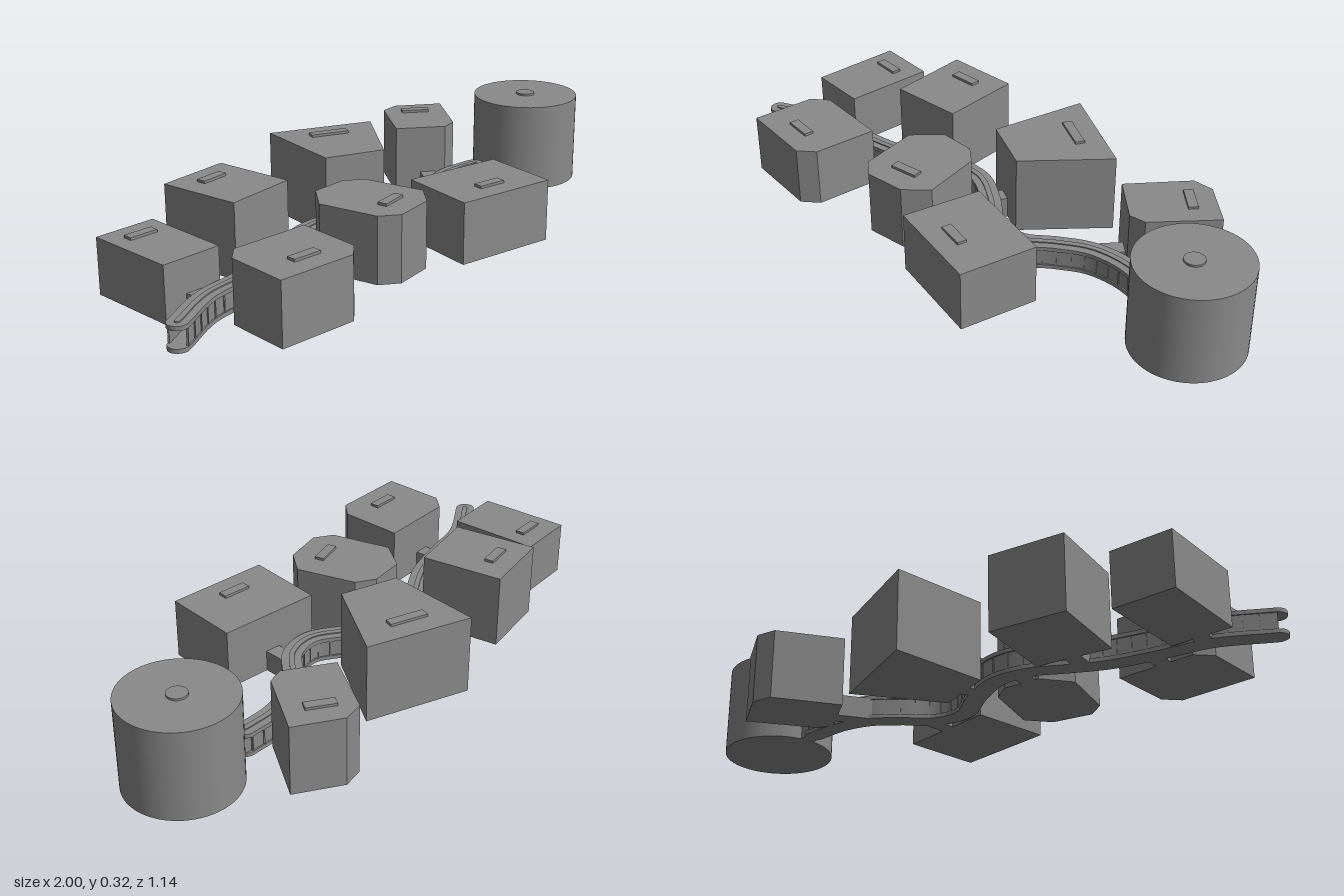
import * as THREE from 'three';
import { toCreasedNormals } from 'three/addons/utils/BufferGeometryUtils.js';

const wallGrey = new THREE.MeshStandardMaterial({ color: 0x8a8a8a });
wallGrey.name = 'wallGrey';

// Centre line of the winding corridor, as [x, z]
const spine = new THREE.CatmullRomCurve3([
  [-0.97, 0.395], [-0.815, 0.27], [-0.665, 0.21], [-0.505, 0.135], [-0.395, 0.05],
  [-0.315, -0.015], [-0.195, -0.053], [-0.05, -0.02], [0.095, 0.037], [0.2, 0],
  [0.27, -0.09], [0.35, -0.175], [0.455, -0.225], [0.575, -0.245],
].map(([x, z]) => new THREE.Vector3(x, 0, z)));

function addMesh(parent, name, geometry) {
  const mesh = new THREE.Mesh(geometry, wallGrey);
  mesh.name = name;
  parent.add(mesh);
  return mesh;
}

// Upright prism over a ground plan of [x, z] points
function prism(plan, y0, y1) {
  const shape = new THREE.Shape(plan.map(([x, z]) => new THREE.Vector2(x, -z)));
  const geo = new THREE.ExtrudeGeometry(shape, { depth: y1 - y0, bevelEnabled: false });
  geo.rotateX(-Math.PI / 2).translate(0, y0, 0);
  return toCreasedNormals(geo, 0.5);
}

// Point beside the spine at parameter u
function beside(u, offset) {
  const p = spine.getPointAt(u), t = spine.getTangentAt(u);
  return [p.x - t.z * offset, p.z + t.x * offset];
}

// Band following the spine between two offsets, optionally with round ends
function band(from, to, y0, y1, round = false) {
  const n = 80, plan = [], back = [];
  for (let i = 0; i <= n; i++) {
    plan.push(beside(i / n, to));
    back.unshift(beside(i / n, from));
  }
  const cap = (u, sign) => {
    const p = spine.getPointAt(u), t = spine.getTangentAt(u), pts = [];
    for (let k = 1; k < 10; k++) {
      const a = (k / 10) * Math.PI, s = Math.sin(a) * to * sign, c = Math.cos(a) * to * sign;
      pts.push([p.x + t.x * s - t.z * c, p.z + t.z * s + t.x * c]);
    }
    return pts;
  };
  const outline = round ? [...plan, ...cap(1, 1), ...back, ...cap(0, -1)] : [...plan, ...back];
  return prism(outline, y0, y1);
}

// Box lying between two ground points
function link(a, b, width, height) {
  const dx = b[0] - a[0], dz = b[1] - a[1];
  const geo = new THREE.BoxGeometry(Math.hypot(dx, dz), height, width);
  geo.rotateY(Math.atan2(-dz, dx));
  return geo.translate((a[0] + b[0]) / 2, height / 2, (a[1] + b[1]) / 2);
}

// Each room: plan, height, roof vent [x, z, slope, length], passage from corridor to room
const rooms = [
  { name: 'backLeftRoom', height: 0.19, vent: [-0.88, -0.02, -0.2, 0.1],
    plan: [[-1, -0.08], [-0.79, -0.125], [-0.725, 0.19], [-0.93, 0.235]],
    passage: [[-0.8, 0.265], [-0.83, 0.2]] },
  { name: 'backInnerRoom', height: 0.26, vent: [-0.55, -0.18, -0.34, 0.1],
    plan: [[-0.7, -0.22], [-0.45, -0.305], [-0.355, -0.03], [-0.6, 0.06]],
    passage: [[-0.445, 0.1], [-0.48, 0]] },
  { name: 'taperedRoom', height: 0.28, vent: [-0.015, -0.32, 0.2, 0.135],
    plan: [[-0.18, -0.445], [0.19, -0.365], [0.045, -0.065], [-0.165, -0.1]],
    passage: [[-0.08, -0.035], [-0.062, -0.1]] },
  { name: 'backRightRoom', height: 0.245, vent: [0.465, -0.475, 0.46, 0.1],
    plan: [[0.375, -0.55], [0.445, -0.575], [0.605, -0.505], [0.5, -0.28], [0.445, -0.255], [0.28, -0.33]],
    passage: [[0.34, -0.17], [0.395, -0.3]] },
  { name: 'frontLeftRoom', height: 0.212, vent: [-0.585, 0.45, -0.17, 0.1],
    plan: [[-0.725, 0.285], [-0.455, 0.235], [-0.42, 0.46], [-0.46, 0.52], [-0.73, 0.565], [-0.765, 0.345]],
    passage: [[-0.635, 0.2], [-0.615, 0.28]] },
  { name: 'octagonRoom', height: 0.23, vent: [-0.145, 0.25, -0.45, 0.1],
    plan: [[-0.29, 0.035], [-0.165, 0], [-0.095, 0.03], [0, 0.225], [-0.05, 0.315], [-0.185, 0.37], [-0.255, 0.34], [-0.345, 0.145]],
    passage: [[-0.275, -0.03], [-0.235, 0.06]] },
  { name: 'frontRightRoom', height: 0.213, vent: [0.24, 0.265, -0.05, 0.1],
    plan: [[0.055, 0.08], [0.415, 0.065], [0.43, 0.34], [0.065, 0.36]],
    passage: [[0.22, 0], [0.23, 0.1]] },
];

export function createModel() {
  const model = new THREE.Group();
  model.name = 'pavilionComplex';

  // Rooms with roof vents and passages
  for (const { name, plan, height, vent, passage } of rooms) {
    const room = new THREE.Group();
    room.name = name;
    addMesh(room, 'roomBlock', prism(plan, 0, height));
    const [x, z, slope, length] = vent;
    const roofVent = addMesh(room, 'roofVent', new THREE.BoxGeometry(length, 0.01, 0.033));
    roofVent.position.set(x, height + 0.004, z);
    roofVent.rotation.y = -Math.atan(slope);
    addMesh(room, 'passage', link(passage[0], passage[1], 0.055, 0.075));
    model.add(room);
  }

  // Corridor: floor, roof, ridge and side walls
  const corridor = new THREE.Group();
  corridor.name = 'corridor';
  addMesh(corridor, 'floor', band(-0.034, 0.034, 0, 0.014, true));
  addMesh(corridor, 'roof', band(-0.034, 0.034, 0.07, 0.084, true));
  addMesh(corridor, 'roofRidge', band(-0.009, 0.009, 0.083, 0.088, true));
  addMesh(corridor, 'leftWall', band(-0.029, -0.026, 0.013, 0.071));
  addMesh(corridor, 'rightWall', band(0.026, 0.029, 0.013, 0.071));

  // Slim posts along both walls
  const postShape = new THREE.BoxGeometry(0.005, 0.058, 0.006);
  const count = 36;
  for (let i = 0; i <= count; i++) {
    const t = spine.getTangentAt(i / count);
    for (const side of [-1, 1]) {
      const [x, z] = beside(i / count, side * 0.029);
      const post = addMesh(corridor, 'wallPost', postShape);
      post.position.set(x, 0.042, z);
      post.rotation.y = Math.atan2(-t.z, t.x);
    }
  }
  model.add(corridor);

  // Round hall with its roof cap and entrance
  const hall = new THREE.Group();
  hall.name = 'roundHall';
  const drum = addMesh(hall, 'drum', new THREE.CylinderGeometry(0.19, 0.19, 0.313, 64));
  drum.position.set(0.81, 0.1565, -0.245);
  const cap = addMesh(hall, 'roofCap', new THREE.CylinderGeometry(0.034, 0.034, 0.01, 32));
  cap.position.set(0.81, 0.315, -0.245);
  addMesh(hall, 'entrance', link([0.57, -0.245], [0.65, -0.245], 0.05, 0.075));
  model.add(hall);

  return model;
}
